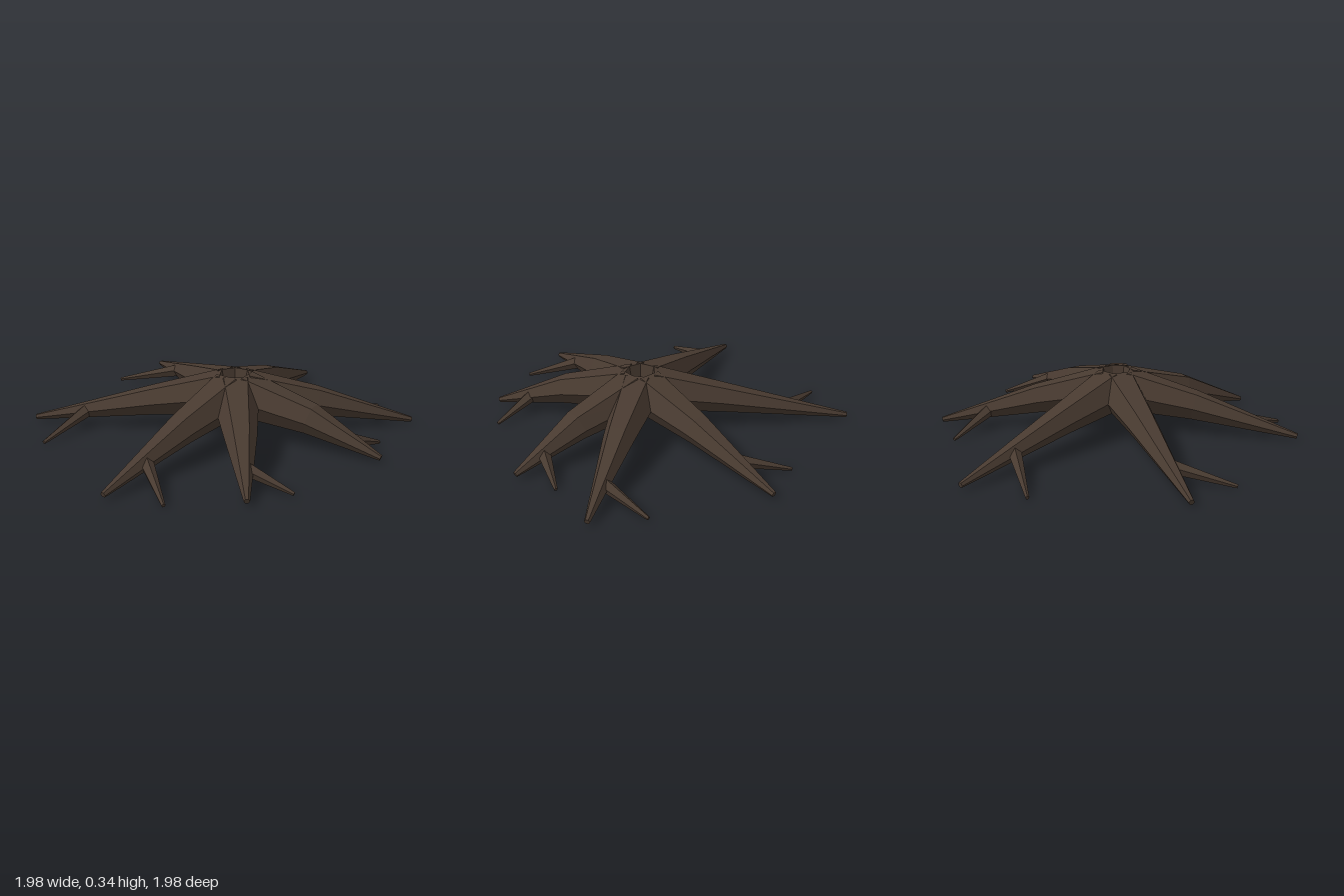
import * as THREE from 'three';

const UP = new THREE.Vector3(0, 1, 0);
const bark = new THREE.MeshStandardMaterial({ color: 0x483a30 });
bark.name = 'darkBark';

// Faceted tapered limb: a cylinder whose rings are moved onto a path.
function limb(name, path, radii, sides, thetaStart) {
  const n = path.length - 1;
  const frames = path.map((p, i) => {
    const t = new THREE.Vector3();
    if (i > 0) t.add(p.clone().sub(path[i - 1]).normalize());
    if (i < n) t.add(path[i + 1].clone().sub(p).normalize());
    t.normalize();
    const side = t.clone().cross(UP).normalize();
    const up = side.clone().cross(t);
    return { p, up, across: side.negate(), r: radii[i] };
  });
  const geo = new THREE.CylinderGeometry(1, 1, 1, sides, n, false, thetaStart).toNonIndexed();
  const pos = geo.attributes.position;
  const v = new THREE.Vector3();
  for (let k = 0; k < pos.count; k++) {
    const x = pos.getX(k), z = pos.getZ(k);
    const f = frames[Math.round((pos.getY(k) + 0.5) * n)];
    v.copy(f.p).addScaledVector(f.up, x * f.r).addScaledVector(f.across, z * f.r);
    pos.setXYZ(k, v.x, v.y, v.z);
  }
  geo.computeVertexNormals();
  const mesh = new THREE.Mesh(geo, bark);
  mesh.name = name;
  return mesh;
}

export function createModel() {
  const group = new THREE.Group();
  group.name = 'rootCluster';
  const cx = 0.02, cz = 0.15; // centre of the crown

  // root tip x, z; fork position along the root; fork tip x, z
  const roots = [
    [-0.12, -0.99, 0.69, -0.415, -0.815],
    [0.705, -0.555, 0.72, 0.44, -0.655],
    [0.985, 0.32, 0.75, 0.915, 0.04],
    [0.605, 0.735, 0.79, 0.70, 0.515],
    [-0.18, 0.985, 0.75, 0.065, 0.945],
    [-0.795, 0.735, 0.71, -0.545, 0.885],
    [-0.985, -0.305, 0.73, -0.985, 0.02],
  ];

  roots.forEach(([tx, tz, fork, bx, bz], i) => {
    const length = Math.hypot(tx - cx, tz - cz);
    const at = (r, y) => new THREE.Vector3(
      cx + (tx - cx) * r / length, y, cz + (tz - cz) * r / length);
    const start = at(0.054, 0.24), knee = at(0.44, 0.172), tip = at(length, 0.035);

    // main root, hexagonal with a bend at the knee
    const root = new THREE.Group();
    root.name = `root${i + 1}`;
    root.add(limb('mainRoot', [start, knee, tip], [0.125, 0.083, 0.015], 6, 0));

    // thin side fork growing out of the root's axis
    const r = fork * length;
    const base = knee.clone().lerp(tip, (r - 0.44) / (length - 0.44));
    root.add(limb('sideFork', [base, new THREE.Vector3(bx, 0.017, bz)],
      [0.038, 0.01], 5, Math.PI / 2));
    group.add(root);
  });
  return group;
}
